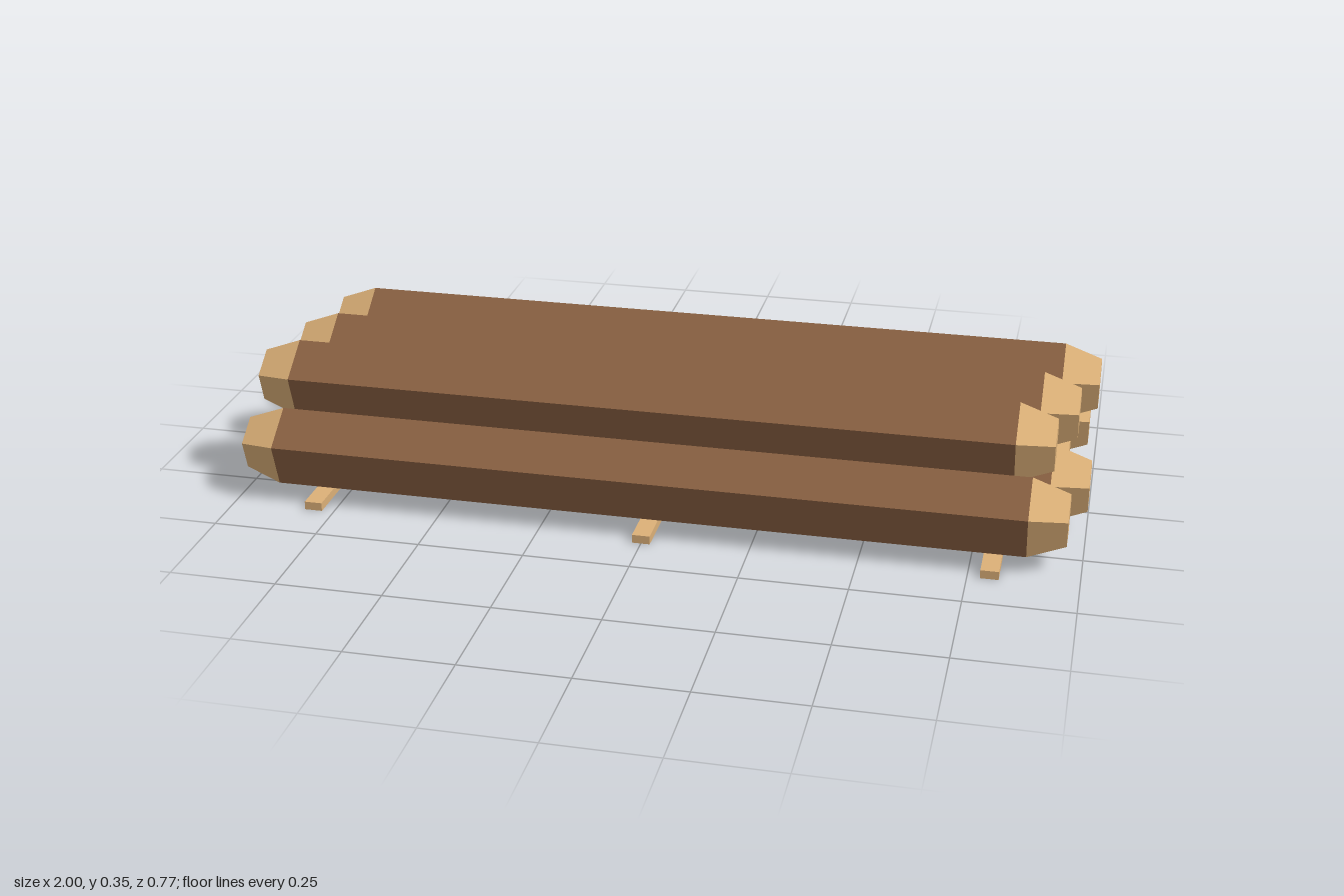
import * as THREE from 'three';

const R = 0.095;      // log radius
const TIP_R = 0.063;  // radius of the cut face
const TAPER = 0.087;  // length of each bare, tapered end
const SIDES = 5;

const bark = new THREE.MeshStandardMaterial({ color: 0x8a6142, flatShading: true });
bark.name = 'bark';
const wood = new THREE.MeshStandardMaterial({ color: 0xdcb078, flatShading: true });
wood.name = 'cut wood';

// Lay a geometry built along +y onto +x with one corner pointing up
const layDown = (geometry) => geometry.rotateZ(-Math.PI / 2).rotateX(-Math.PI / 2);

// Tapered end: sloped sides and a flat cut face
const endGeometry = layDown(new THREE.LatheGeometry([
  new THREE.Vector2(R, 0),
  new THREE.Vector2(TIP_R, TAPER),
  new THREE.Vector2(0, TAPER),
], SIDES));

function createLog(name, left, right, y, z) {
  const log = new THREE.Group();
  log.name = name;
  log.position.set(0, y, z);

  const from = left + TAPER, to = right - TAPER;
  const body = new THREE.Mesh(
    layDown(new THREE.CylinderGeometry(R, R, to - from, SIDES, 1, true)), bark);
  body.name = 'barkBody';
  body.position.x = (from + to) / 2;

  const endA = new THREE.Mesh(endGeometry, wood);
  endA.name = 'leftEnd';
  endA.position.x = to;

  const endB = new THREE.Mesh(endGeometry, wood);
  endB.name = 'rightEnd';
  endB.position.x = from;
  endB.rotation.y = Math.PI;

  log.add(body, endA, endB);
  return log;
}

export function createModel() {
  const model = new THREE.Group();
  model.name = 'logPile';

  // Each row from front to back: [z, lowest x, highest x]
  const rows = [
    { name: 'lowerLog', y: 0.117, logs: [
      [0.282, -0.988, 0.963], [0.094, -0.962, 1.0],
      [-0.094, -0.93, 0.943], [-0.282, -1.0, 0.982]] },
    { name: 'upperLog', y: 0.256, logs: [
      [0.188, -0.973, 0.92], [0, -0.946, 0.962], [-0.188, -0.916, 1.0]] },
  ];
  for (const row of rows) {
    row.logs.forEach(([z, left, right], i) =>
      model.add(createLog(row.name + (i + 1), left, right, row.y, z)));
  }

  // Thin cross bearers on the ground
  const bearerGeometry = new THREE.BoxGeometry(0.042, 0.02, 0.768);
  [-0.8, 0, 0.8].forEach((x, i) => {
    const bearer = new THREE.Mesh(bearerGeometry, wood);
    bearer.name = 'bearer' + (i + 1);
    bearer.position.set(x, 0.01, 0);
    model.add(bearer);
  });

  return model;
}
